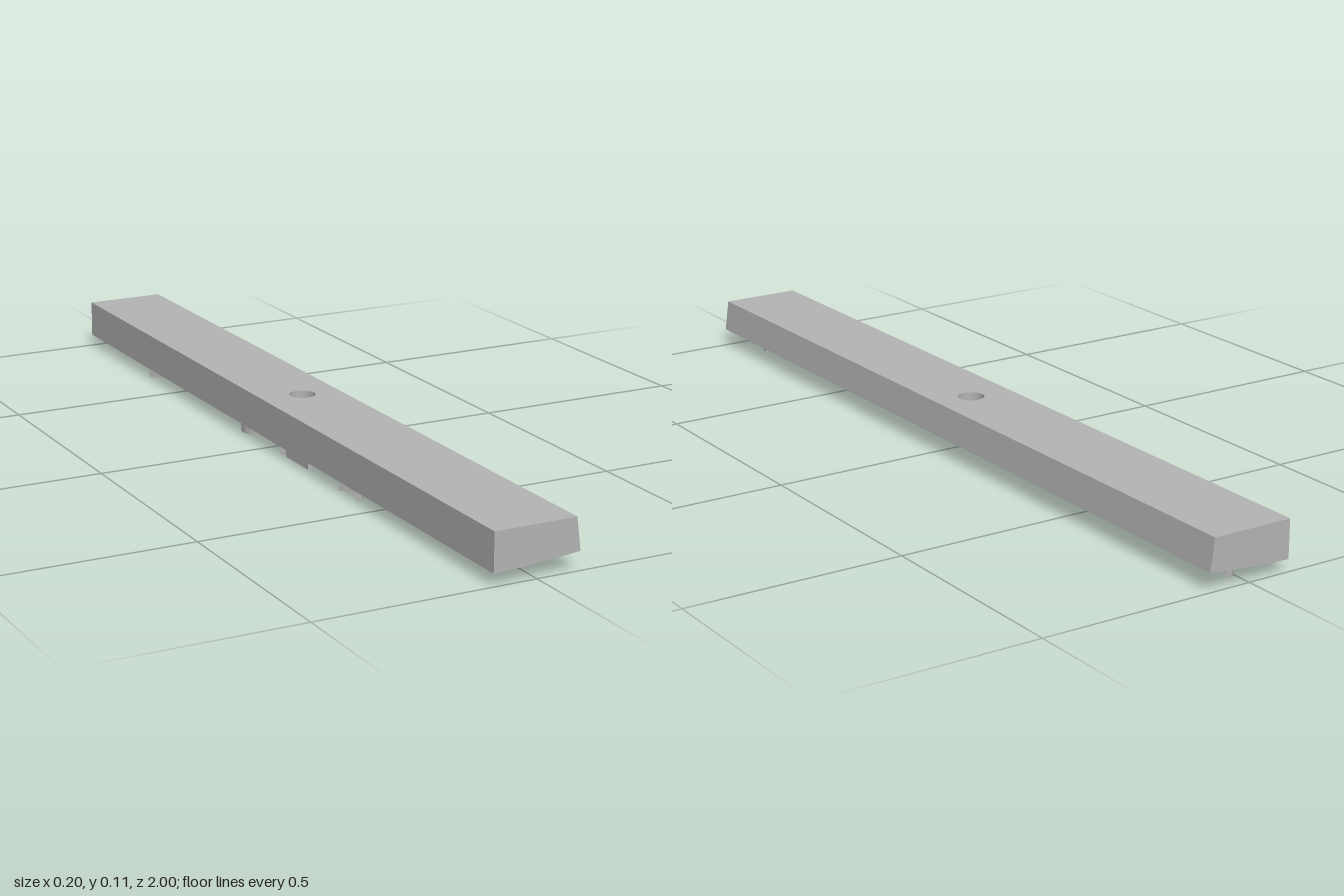
import * as THREE from 'three';
import { toCreasedNormals } from 'three/addons/utils/BufferGeometryUtils.js';

const TOP = 0.115, HOLE = 0.03, DROP = 0.028;
// gently curved underside height across the bar
const under = (x) => 0.028 + 0.03 * (x + 0.1) + 0.2 * (x + 0.1) ** 2;

// sets the height of every vertex by a rule of x and its old height
function setHeight(geo, rule) {
  const p = geo.attributes.position;
  for (let i = 0; i < p.count; i++) p.setY(i, rule(p.getX(i), p.getY(i)));
  geo.computeVertexNormals();
  return geo;
}

const rectangle = (x0, x1, z0, z1) => new THREE.Shape([
  new THREE.Vector2(x0, z0), new THREE.Vector2(x1, z0),
  new THREE.Vector2(x1, z1), new THREE.Vector2(x0, z1)]);

// full-length strip of the top or underside, optionally pierced
function panel(x0, x1, pierced, facesUp) {
  const s = rectangle(x0, x1, -1, 1);
  if (pierced) s.holes.push(new THREE.Path().absarc(0, 0, HOLE, 0, Math.PI * 2, true));
  const g = new THREE.ShapeGeometry(s, 24).rotateX(facesUp ? -Math.PI / 2 : Math.PI / 2);
  return setHeight(g, facesUp ? () => TOP : under);
}

// full-length side wall between a lower and an upper edge
function sideWall(xLow, xHigh, facing) {
  const g = new THREE.PlaneGeometry(2, 1).rotateY(facing * Math.PI / 2);
  const p = g.attributes.position;
  for (let i = 0; i < p.count; i++) {
    const high = p.getY(i) > 0;
    p.setX(i, high ? xHigh : xLow);
    p.setY(i, high ? TOP : under(xLow));
  }
  g.computeVertexNormals();
  return g;
}

// plan outline extruded down from the underside, following its curve
function ridge(shape) {
  const g = new THREE.ExtrudeGeometry(shape, { depth: 1, bevelEnabled: false, curveSegments: 32 });
  g.rotateX(Math.PI / 2);
  return toCreasedNormals(setHeight(g, (x, y) => under(x) + (y < -0.5 ? -DROP : 0.002)), 0.6);
}

// straight rib between two plan points
function bar(x0, z0, x1, z1, width) {
  const a = new THREE.Vector2(x0, z0), b = new THREE.Vector2(x1, z1);
  const d = b.clone().sub(a).normalize();
  const n = new THREE.Vector2(-d.y, d.x).multiplyScalar(width / 2);
  return ridge(new THREE.Shape([a.clone().sub(n), b.clone().sub(n), b.clone().add(n), a.clone().add(n)]));
}

export function createModel() {
  const model = new THREE.Group();
  const grey = new THREE.MeshStandardMaterial({ color: 0xb3b3b3, side: THREE.DoubleSide });
  grey.name = 'grey';
  const add = (name, geo) => {
    const m = new THREE.Mesh(geo, grey);
    m.name = name;
    model.add(m);
  };

  // main bar
  add('topFace', panel(-0.1, 0.09, true, true));
  const edges = [-0.1, -0.068, -0.035, 0.035, 0.068, 0.1];
  for (let i = 0; i < 5; i++) add('underside', panel(edges[i], edges[i + 1], i === 2, false));
  add('straightSide', sideWall(-0.1, -0.1, -1));
  add('slantedSide', sideWall(0.1, 0.09, 1));

  // end faces
  const profile = new THREE.Shape([
    ...edges.map((x) => new THREE.Vector2(x, under(x))),
    new THREE.Vector2(0.09, TOP), new THREE.Vector2(-0.1, TOP)]);
  add('frontEnd', new THREE.ShapeGeometry(profile).translate(0, 0, 1));
  const back = new THREE.ShapeGeometry(profile);
  back.index.array.reverse();
  back.computeVertexNormals();
  add('backEnd', back.translate(0, 0, -1));

  // round through hole
  const wall = new THREE.CylinderGeometry(HOLE, HOLE, 1, 48, 1, true);
  add('holeWall', setHeight(wall, (x, y) => (y > 0 ? TOP : under(x))));

  // paired pegs near the front end
  for (const x of [0.026, 0.052]) add('peg', bar(x - 0.0075, 0.867, x + 0.0075, 0.867, 0.013));

  // thin cross plates
  for (const z of [0.68, -0.32]) add('crossPlate', bar(-0.024, z, 0.02, z, 0.012));

  // crossed ribs
  add('crossedRib', bar(-0.022, 0.425, -0.084, 0.34, 0.014));
  add('crossedRib', bar(-0.022, 0.34, -0.084, 0.425, 0.014));

  // branching ribs
  add('branchRib', bar(-0.022, -0.575, -0.084, -0.662, 0.014));
  add('branchRib', bar(-0.022, -0.662, -0.053, -0.619, 0.014));

  // long rib, short slanted ribs
  add('longRib', bar(-0.077, 0.187, -0.077, 0.08, 0.012));
  add('slantedRib', bar(-0.06, 0.037, -0.082, 0.064, 0.013));
  add('slantedRib', bar(0.026, -0.97, -0.002, -0.94, 0.012));

  // oval ring
  const ring = new THREE.Shape().absellipse(-0.053, -0.13, 0.034, 0.04, 0, Math.PI * 2, false);
  ring.holes.push(new THREE.Path().absellipse(-0.053, -0.13, 0.022, 0.027, 0, Math.PI * 2, true));
  add('ovalRing', ridge(ring));

  return model;
}
